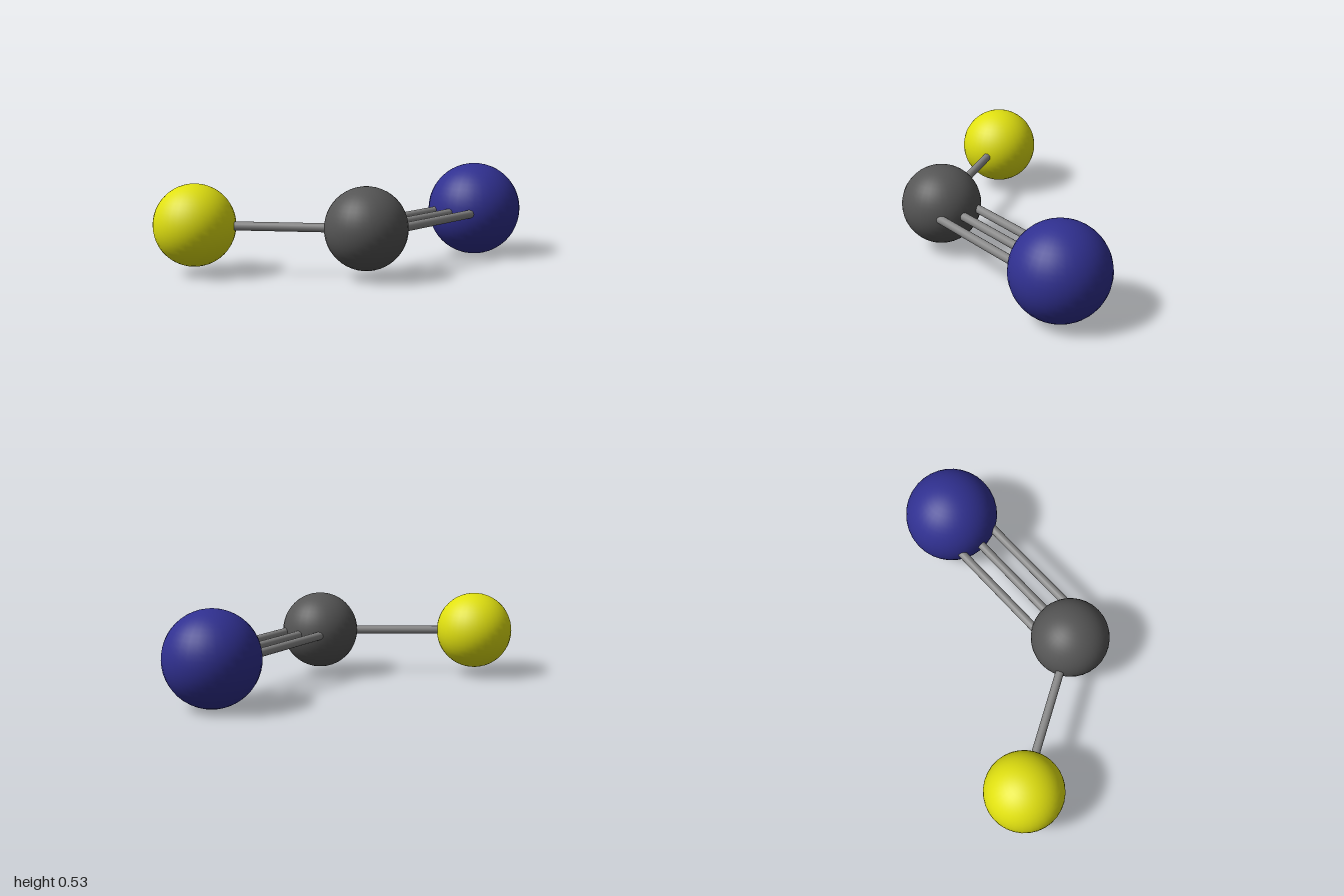
import * as THREE from 'three';

const Y = 0.27;
const atoms = {
  yellowAtom: { pos: new THREE.Vector3(-0.777, Y, -0.415), r: 0.222, color: 0xe0e010 },
  greyAtom: { pos: new THREE.Vector3(-0.293, Y, 0.37), r: 0.222, color: 0x555555 },
  blueAtom: { pos: new THREE.Vector3(0.73, Y, 0.37), r: 0.267, color: 0x303090 },
};

// Cylinder running between two points
function rod(name, a, b, material) {
  const dir = b.clone().sub(a);
  const mesh = new THREE.Mesh(new THREE.CylinderGeometry(0.024, 0.024, dir.length(), 16), material);
  mesh.position.copy(a).add(b).multiplyScalar(0.5);
  mesh.quaternion.setFromUnitVectors(new THREE.Vector3(0, 1, 0), dir.normalize());
  mesh.name = name;
  return mesh;
}

export function createModel() {
  const model = new THREE.Group();
  model.name = 'molecule';

  // Atoms
  for (const [name, { pos, r, color }] of Object.entries(atoms)) {
    const mesh = new THREE.Mesh(
      new THREE.SphereGeometry(r, 32, 24),
      new THREE.MeshStandardMaterial({ color })
    );
    mesh.position.copy(pos);
    mesh.name = name;
    model.add(mesh);
  }

  const grey = new THREE.MeshStandardMaterial({ color: 0x888888 });
  const { yellowAtom, greyAtom, blueAtom } = atoms;

  // Single bond
  model.add(rod('singleBond', yellowAtom.pos, greyAtom.pos, grey));

  // Triple bond: three parallel rods, very slightly skewed
  const triple = new THREE.Group();
  triple.name = 'tripleBond';
  for (const offset of [-0.12, 0, 0.12]) {
    const a = greyAtom.pos.clone().add(new THREE.Vector3(0, 0, offset + 0.008));
    const b = blueAtom.pos.clone().add(new THREE.Vector3(0, 0, offset));
    triple.add(rod('bondRod', a, b, grey));
  }
  model.add(triple);

  return model;
}
